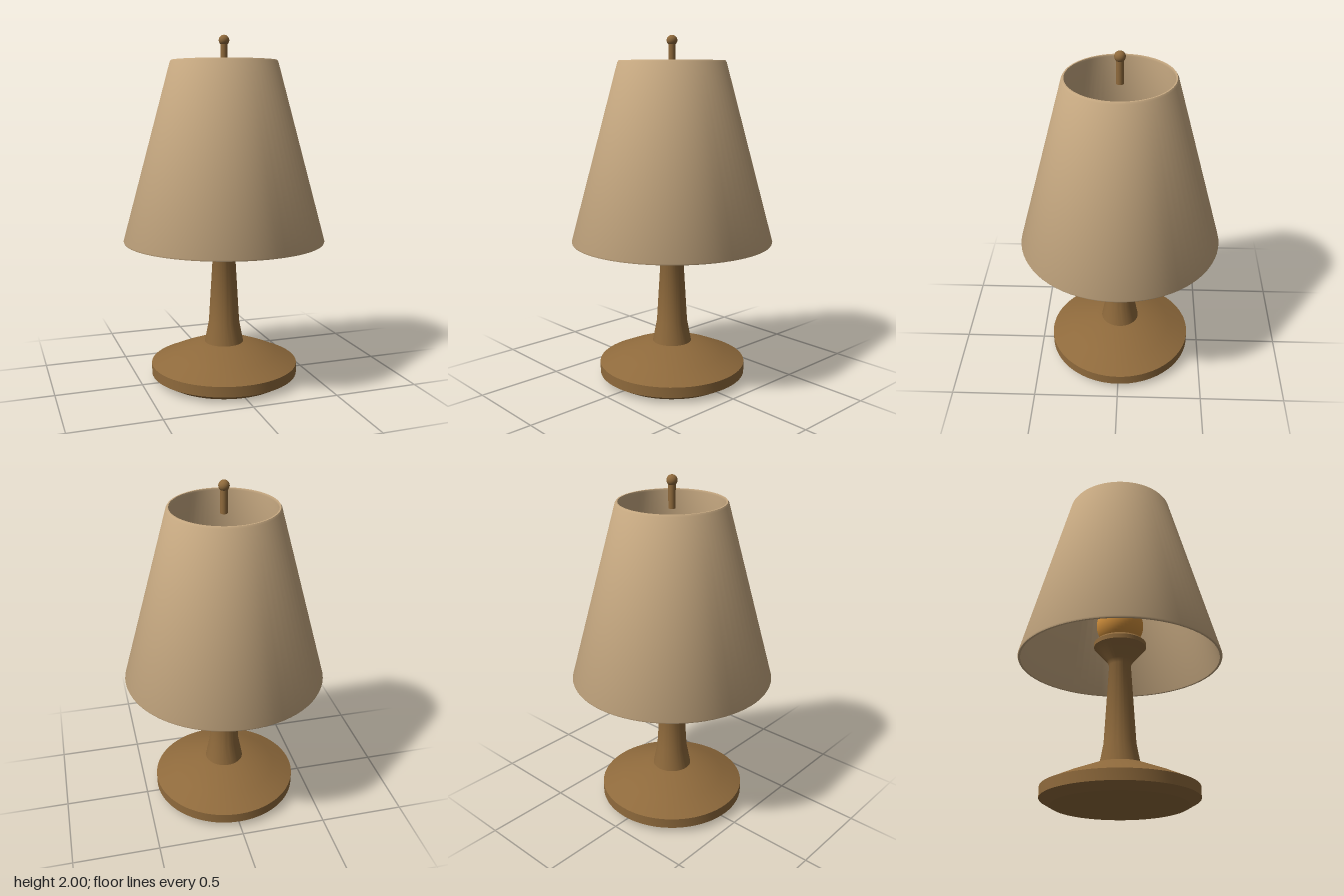
import * as THREE from 'three';
import { toCreasedNormals } from 'three/addons/utils/BufferGeometryUtils.js';

const material = (name, color) => {
  const m = new THREE.MeshStandardMaterial({ color });
  m.name = name;
  return m;
};

export function createModel() {
  const lamp = new THREE.Group();
  lamp.name = 'tableLamp';
  const wood = material('brown wood', 0x8f6a3c);
  const fabric = material('beige fabric', 0xc8aa82);
  const glow = material('amber bulb', 0xd18f3b);

  const add = (name, geometry, mat, y = 0) => {
    const mesh = new THREE.Mesh(geometry, mat);
    mesh.name = name;
    mesh.position.y = y;
    lamp.add(mesh);
  };
  // Turned part from [radius, height] pairs, with sharp rims kept sharp
  const turned = (profile, crease = 0.7) => toCreasedNormals(
    new THREE.LatheGeometry(profile.map(([r, y]) => new THREE.Vector2(r, y)), 72), crease);

  // Wide foot with a chamfered underside and sloping top
  add('base', turned([
    [0, 0], [0.37, 0], [0.43, 0.035], [0.43, 0.095], [0.31, 0.15], [0.15, 0.215], [0, 0.215],
  ], 0.45), wood);

  // Tapered stem flaring into the bulb cup
  add('stem', turned([
    [0.115, 0.21], [0.09, 0.34], [0.062, 0.80], [0.075, 0.825],
    [0.15, 0.91], [0.15, 0.935], [0.135, 0.95], [0, 0.95],
  ]), wood);

  add('bulb', new THREE.SphereGeometry(0.136, 40, 28), glow, 1.05);

  // Hollow shade: up the outside, over the rim and down the inside
  add('shade', turned([
    [0.568, 0.825], [0.58, 0.825], [0.583, 0.833], [0.307, 1.85], [0.3, 1.86],
    [0.292, 1.86], [0.289, 1.85], [0.565, 0.833], [0.568, 0.825],
  ]), fabric);

  // Finial rod and ball
  add('finialRod', new THREE.CylinderGeometry(0.02, 0.02, 0.14, 24), wood, 1.89);
  add('finialBall', new THREE.SphereGeometry(0.03, 24, 16), wood, 1.97);

  return lamp;
}
